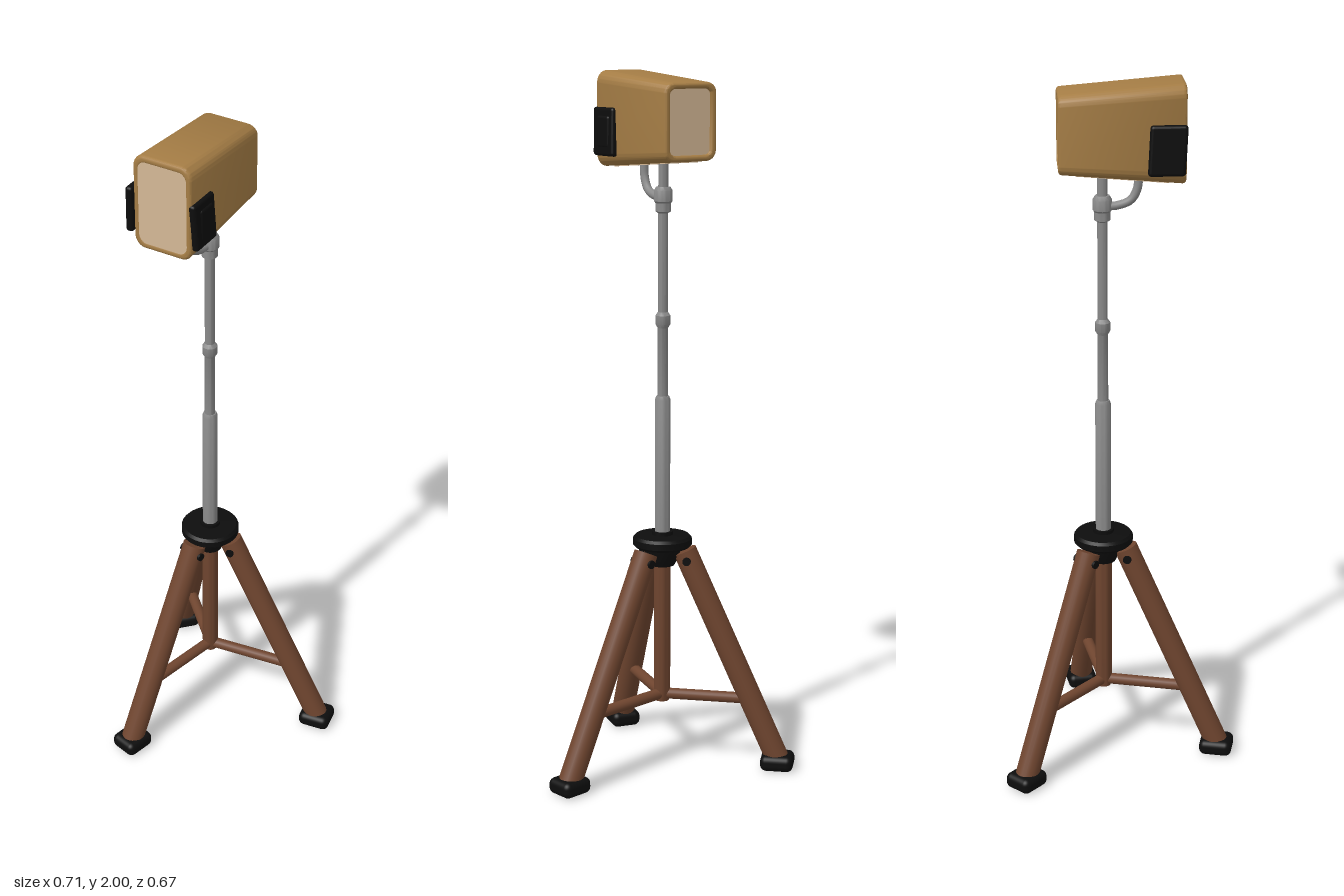
import * as THREE from 'three';
import { toCreasedNormals } from 'three/addons/utils/BufferGeometryUtils.js';
import { RoundedBoxGeometry } from 'three/addons/geometries/RoundedBoxGeometry.js';

const material = (name, color) => {
  const m = new THREE.MeshStandardMaterial({ color });
  m.name = name;
  return m;
};
const ochre = material('ochre shell', 0xa57d45);
const cream = material('cream panel', 0xd4b896);
const brown = material('brown wood', 0x6f452f);
const grey = material('grey metal', 0x8a8a8a);
const black = material('black rubber', 0x0d0d0d);

const PX = -0.048, PZ = -0.05; // mast axis
const V = (x, y, z) => new THREE.Vector3(x, y, z);

function add(parent, name, geometry, mat, x = 0, y = 0, z = 0) {
  const mesh = new THREE.Mesh(geometry, mat);
  mesh.name = name;
  mesh.position.set(x, y, z);
  parent.add(mesh);
  return mesh;
}

// round bar between two points
function bar(parent, name, a, b, radius, mat) {
  const mesh = add(parent, name, new THREE.CylinderGeometry(radius, radius, a.distanceTo(b), 20), mat);
  mesh.position.copy(a).lerp(b, 0.5);
  mesh.quaternion.setFromUnitVectors(V(0, 1, 0), b.clone().sub(a).normalize());
  return mesh;
}

// turned part around the mast axis from [radius, y] points
function turned(parent, name, points, mat) {
  const g = new THREE.LatheGeometry(points.map(([r, y]) => new THREE.Vector2(r, y)), 28);
  return add(parent, name, toCreasedNormals(g, 0.6), mat, PX, 0, PZ);
}

function roundedRect(Type, w, h, r) {
  const s = new Type(), x = w / 2, y = h / 2;
  s.moveTo(-x + r, -y);
  s.lineTo(x - r, -y);
  s.absarc(x - r, -y + r, r, -Math.PI / 2, 0);
  s.lineTo(x, y - r);
  s.absarc(x - r, y - r, r, 0, Math.PI / 2);
  s.lineTo(-x + r, y);
  s.absarc(-x + r, y - r, r, Math.PI / 2, Math.PI);
  s.lineTo(-x, -y + r);
  s.absarc(-x + r, -y + r, r, Math.PI, Math.PI * 1.5);
  return s;
}

// the head is taller at the front than at the back
function taper(g) {
  const p = g.attributes.position;
  for (let i = 0; i < p.count; i++) p.setY(i, p.getY(i) * (1 + 0.7 * p.getZ(i)));
  return toCreasedNormals(g, 0.6);
}

function buildTripod() {
  const tripod = new THREE.Group();
  tripod.name = 'tripod';
  turned(tripod, 'hub', [[0, 0.6], [0.035, 0.6], [0.05, 0.63], [0.055, 0.655], [0.078, 0.655],
    [0.085, 0.662], [0.085, 0.68], [0.078, 0.688], [0.03, 0.69], [0.03, 0.7], [0, 0.7]], black);
  turned(tripod, 'centreColumn', [[0, 0.19], [0.02, 0.19], [0.024, 0.22], [0.024, 0.62], [0, 0.62]], brown);

  for (const [fx, fz] of [[0.305, -0.115], [-0.3, -0.28], [-0.12, 0.283]]) {
    const out = V(fx - PX, 0, fz - PZ).normalize();
    const side = V(-out.z, 0, out.x);
    const top = V(PX, 0.645, PZ).addScaledVector(out, 0.065);
    const bottom = V(fx, 0.03, fz);
    bar(tripod, 'leg', top, bottom, 0.034, brown);
    bar(tripod, 'strut', V(PX, 0.21, PZ), top.clone().lerp(bottom, 0.71), 0.016, brown);

    // pivot bolt through the top of the leg
    const pivot = top.clone().lerp(bottom, 0.04);
    bar(tripod, 'pivotBolt', pivot.clone().addScaledVector(side, 0.039),
      pivot.clone().addScaledVector(side, -0.039), 0.012, black);

    const foot = add(tripod, 'foot', new RoundedBoxGeometry(0.095, 0.046, 0.088, 4, 0.018), black, fx, 0.023, fz);
    foot.rotation.y = Math.atan2(-out.z, out.x);
  }
  return tripod;
}

function buildMast() {
  const mast = new THREE.Group();
  mast.name = 'mast';
  turned(mast, 'lowerTube', [[0, 0.68], [0.022, 0.68], [0.022, 1.085], [0.018, 1.095], [0, 1.095]], grey);
  turned(mast, 'upperTube', [[0.015, 1.08], [0.015, 1.29], [0.021, 1.3], [0.021, 1.325],
    [0.014, 1.335], [0.014, 1.77]], grey);
  turned(mast, 'swivel', [[0.014, 1.612], [0.022, 1.617], [0.022, 1.64], [0.026, 1.645],
    [0.026, 1.675], [0.02, 1.685], [0.013, 1.685]], grey);
  // curved arm holding the underside of the head
  const path = new THREE.CatmullRomCurve3([V(PX, 1.655, PZ), V(PX, 1.657, -0.01),
    V(PX, 1.672, 0.027), V(PX, 1.705, 0.045), V(PX, 1.765, 0.048)]);
  add(mast, 'curvedArm', new THREE.TubeGeometry(path, 24, 0.012, 12), grey);
  return mast;
}

function buildHead() {
  const head = new THREE.Group();
  head.name = 'head';
  const W = 0.174, H = 0.241, L = 0.34, bevel = 0.009;

  // open shell with rounded edges
  const outline = roundedRect(THREE.Shape, W, H, 0.032);
  outline.holes.push(roundedRect(THREE.Path, W - 0.04, H - 0.04, 0.018));
  const shell = new THREE.ExtrudeGeometry(outline, { depth: L - 2 * bevel, bevelSize: bevel,
    bevelThickness: bevel, bevelOffset: -bevel, bevelSegments: 4, curveSegments: 8 });
  shell.translate(0, 0, -L / 2 + bevel);
  add(head, 'shell', taper(shell), ochre);

  // front and back panels closing the shell
  const panel = (name, w, h, z0, z1) => {
    const g = new THREE.ExtrudeGeometry(roundedRect(THREE.Shape, w, h, 0.02),
      { depth: z1 - z0, bevelEnabled: false, curveSegments: 8 });
    add(head, name, taper(g.translate(0, 0, z0)), cream);
  };
  panel('frontPanel', W - 0.026, H - 0.026, L / 2 - 0.012, L / 2 - 0.001);
  panel('backPanel', W - 0.034, H - 0.034, -L / 2 + 0.008, -L / 2 + 0.02);

  // thin plate under the shell
  const plate = new THREE.BoxGeometry(0.11, 0.004, 0.25).translate(0, -H / 2 - 0.0005, 0);
  add(head, 'undersidePlate', taper(plate), cream);

  // bowed side pads on short mounts near the front
  for (const s of [-1, 1]) {
    const g = new RoundedBoxGeometry(0.022, 0.135, 0.1, 5, 0.009);
    const p = g.attributes.position;
    for (let i = 0; i < p.count; i++) {
      p.setZ(i, p.getZ(i) + 0.05 * p.getY(i));
    }
    g.computeVertexNormals();
    const pad = add(head, 'sidePad', g, black, s < 0 ? -0.104 : 0.089, -0.035, 0.118);
    pad.rotation.z = s * 0.04;
    add(head, 'padMount', new RoundedBoxGeometry(0.03, 0.09, 0.06, 3, 0.008), black, s * 0.088, -0.035, 0.115);
  }
  head.position.set(-0.055, 1.866, 0);
  head.rotation.y = 0.03;
  return head;
}

export function createModel() {
  const model = new THREE.Group();
  model.name = 'tripodViewer';
  model.add(buildTripod(), buildMast(), buildHead());
  return model;
}
